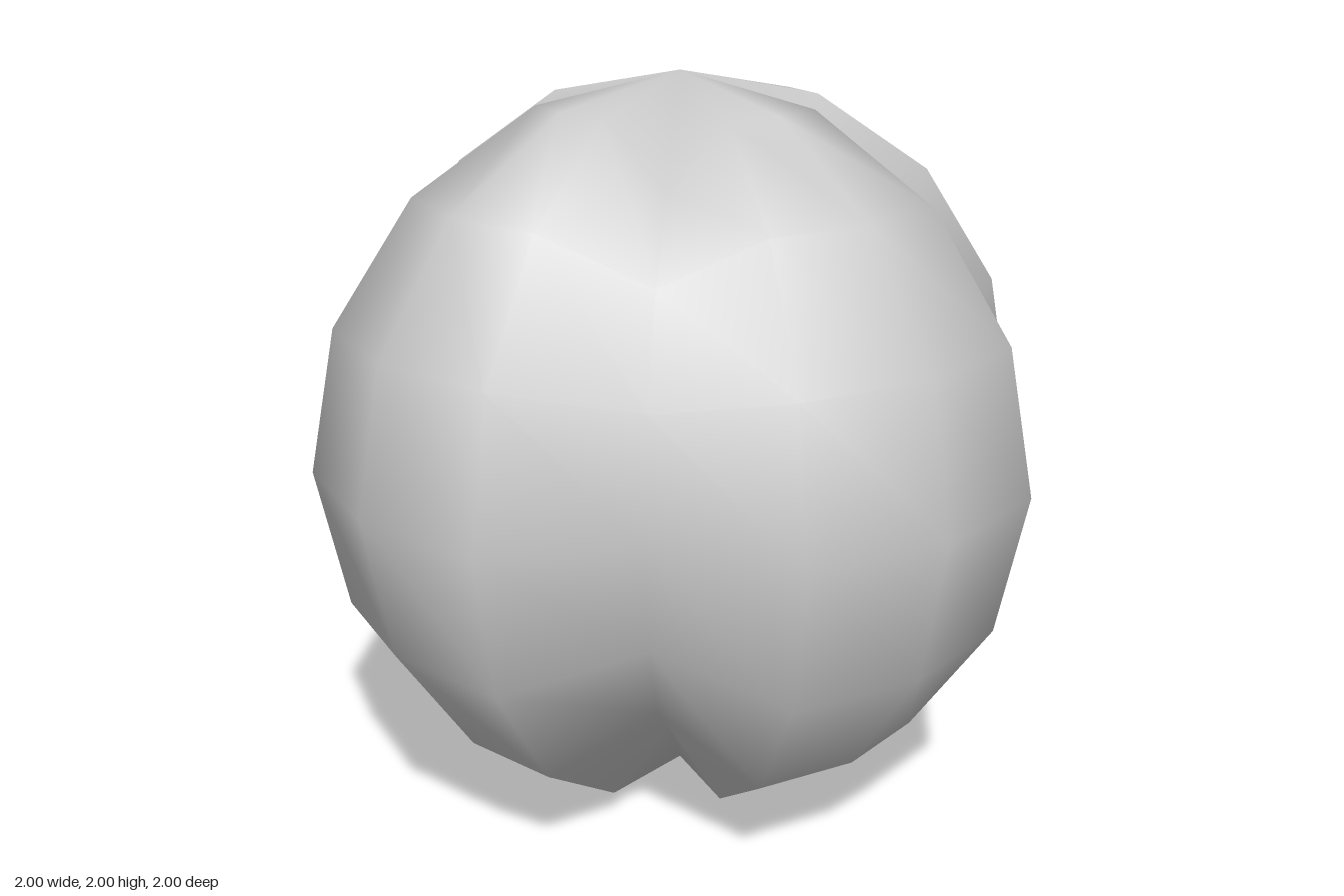
import * as THREE from 'three';
import { mergeVertices } from 'three/addons/utils/BufferGeometryUtils.js';

const COLUMNS = 16;
const RINGS = 8;
const GROOVE = 0.79; // how far the diagonal meridians are drawn towards the centre

// Ball with four lobes, parted by grooves along the diagonal meridians
function lobedBall() {
  let geometry = new THREE.SphereGeometry(1, COLUMNS, RINGS);
  geometry.deleteAttribute('uv');
  geometry.deleteAttribute('normal');
  geometry = mergeVertices(geometry, 1e-4);

  const position = geometry.attributes.position;
  const p = new THREE.Vector3();
  for (let i = 0; i < position.count; i++) {
    p.fromBufferAttribute(position, i);
    const onDiagonal = Math.abs(Math.abs(p.x) - Math.abs(p.z)) < 1e-3;
    const atPole = Math.hypot(p.x, p.z) < 1e-3;
    if (onDiagonal && !atPole) p.multiplyScalar(GROOVE);
    position.setXYZ(i, p.x, p.y + 1, p.z);
  }
  geometry.computeVertexNormals();
  return geometry;
}

export function createModel() {
  const group = new THREE.Group();
  group.name = 'lobedBall';

  const body = new THREE.Mesh(lobedBall(), new THREE.MeshStandardMaterial({ color: 0xcccccc }));
  body.name = 'body';
  group.add(body);

  return group;
}
